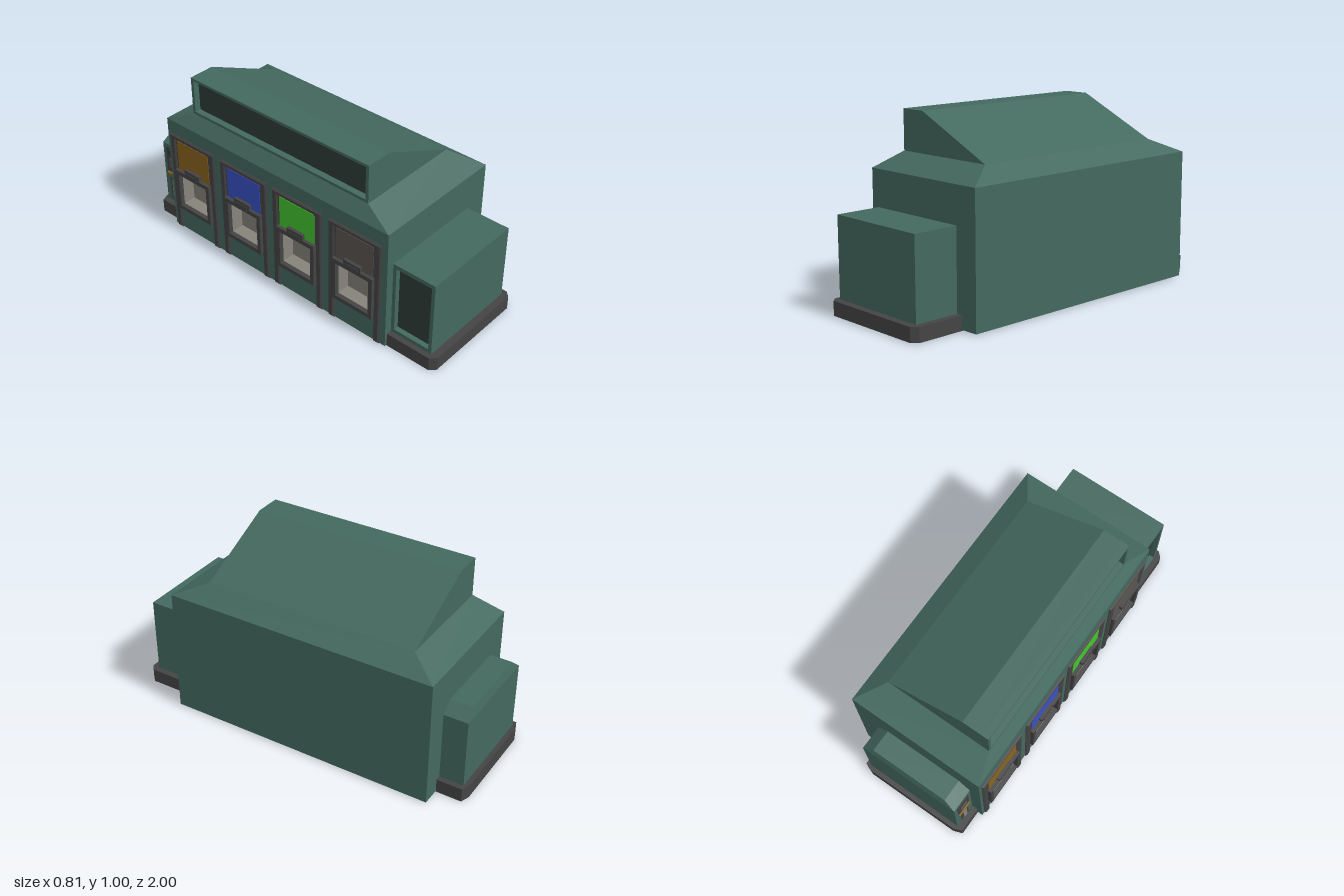
import * as THREE from 'three';

const mat = (name, color) => {
  const m = new THREE.MeshStandardMaterial({ color });
  m.name = name;
  return m;
};

export function createModel() {
  const root = new THREE.Group();
  root.name = 'recyclingStation';
  const green = mat('bodyGreen', 0x44695f);
  const dark = mat('trimDark', 0x444444);
  const glass = mat('windowDark', 0x2e3c38);
  const grey = mat('hopperGrey', 0x86837a);
  const orange = mat('signOrange', 0x8a6420);
  const blue = mat('signBlue', 0x3a50c4);
  const lime = mat('signGreen', 0x44c430);
  const brown = mat('signBrown', 0x5c5550);

  const add = (name, geo, material, parent = root) => {
    const m = new THREE.Mesh(geo, material);
    m.name = name;
    parent.add(m);
    return m;
  };
  // box given by its limits
  const box = (name, x0, x1, y0, y1, z0, z1, material, parent) => {
    const g = new THREE.BoxGeometry(x1 - x0, y1 - y0, z1 - z0);
    g.translate((x0 + x1) / 2, (y0 + y1) / 2, (z0 + z1) / 2);
    return add(name, g, material, parent);
  };
  // box whose top rectangle [x0, x1, z0, z1] differs from the bottom one
  const frustum = (name, y0, y1, a, b, material) => {
    const g = new THREE.BoxGeometry(1, 1, 1);
    const p = g.attributes.position;
    for (let i = 0; i < p.count; i++) {
      const top = p.getY(i) > 0, r = top ? b : a;
      p.setXYZ(i, p.getX(i) < 0 ? r[0] : r[1], top ? y1 : y0, p.getZ(i) < 0 ? r[2] : r[3]);
    }
    g.computeVertexNormals();
    return add(name, g, material);
  };
  const rect = (T, z0, z1, y0, y1) => new T([[z0, y0], [z1, y0], [z1, y1], [z0, y1]].map((q) => new THREE.Vector2(...q)));
  // upright slab in the z-y plane, from xIn outward to -x, with rectangular holes
  const slab = (name, xIn, depth, r, holes, material, parent, bevel = 0) => {
    const s = rect(THREE.Shape, ...r);
    s.holes = holes.map((h) => rect(THREE.Path, ...h));
    const g = new THREE.ExtrudeGeometry(s, {
      depth, bevelEnabled: bevel > 0, bevelSize: bevel, bevelOffset: -bevel, bevelThickness: bevel, bevelSegments: 1,
    });
    g.rotateY(-Math.PI / 2);
    g.translate(xIn, 0, 0);
    return add(name, g, material, parent);
  };
  // flat plinth with cut outer corners, dir is the z direction it points to
  const plinth = (name, x0, x1, zIn, zOut, cx, cz) => {
    const d = Math.sign(zOut);
    const pts = [[x0, zIn], [x0, zOut - d * cz], [x0 + cx, zOut], [x1 - cx, zOut], [x1, zOut - d * cz], [x1, zIn]];
    const s = new THREE.Shape(pts.map(([x, z]) => new THREE.Vector2(x, -z)));
    const g = new THREE.ExtrudeGeometry(s, { depth: 0.078, bevelEnabled: false });
    g.rotateX(-Math.PI / 2);
    add(name, g, dark);
  };

  // main body, with a pierced wall on the service side
  const centres = [-0.65, -0.265, 0.115, 0.5];
  box('body', -0.3, 0.4, 0.005, 0.712, -0.84, 0.705, green);
  slab('serviceWall', -0.3, 0.08, [-0.84, 0.705, 0.005, 0.712],
    centres.map((c) => [c - 0.11, c + 0.11, 0.175, 0.39]), green);

  // hipped roof and raised clerestory
  frustum('roofSlope', 0.712, 0.787, [-0.38, 0.4, -0.84, 0.705], [-0.33, 0.285, -0.678, 0.535], green);
  const prof = new THREE.Shape([[-0.29, 0.787], [0.285, 0.787], [-0.18, 1.005], [-0.29, 1.005]].map((q) => new THREE.Vector2(...q)));
  const upper = new THREE.ExtrudeGeometry(prof, { depth: 1.213, bevelEnabled: false });
  upper.translate(0, 0, -0.678);
  add('clerestory', upper, green);
  slab('clerestoryFrame', -0.29, 0.04, [-0.678, 0.535, 0.787, 1.005], [[-0.66, 0.517, 0.803, 0.99]], green);
  box('clerestoryWindow', -0.295, -0.289, 0.803, 0.99, -0.66, 0.517, glass);

  // front annex with a recessed side window
  box('frontAnnex', -0.3, 0.265, 0.07, 0.513, 0.7, 0.96, green);
  slab('frontAnnexFrame', -0.3, 0.035, [0.7, 0.96, 0.07, 0.513], [[0.725, 0.94, 0.1, 0.49]], green);
  box('frontAnnexWindow', -0.306, -0.299, 0.1, 0.49, 0.725, 0.94, glass);
  plinth('frontPlinth', -0.365, 0.3, 0.7, 1, 0.03, 0.03);

  // rear annex with a bevelled top
  box('rearAnnex', -0.315, 0.265, 0.07, 0.465, -0.975, -0.835, green);
  frustum('rearAnnexTop', 0.465, 0.52, [-0.315, 0.265, -0.975, -0.835], [-0.25, 0.2, -0.962, -0.835], green);
  plinth('rearPlinth', -0.35, 0.295, -0.835, -1, 0.05, 0.018);

  // control panel on the rear annex
  const panel = new THREE.Group();
  panel.name = 'controlPanel';
  root.add(panel);
  box('panelPlate', -0.319, -0.314, 0.29, 0.45, -0.95, -0.86, dark, panel);
  box('display', -0.323, -0.318, 0.405, 0.435, -0.935, -0.875, glass, panel);
  box('keypad', -0.323, -0.318, 0.315, 0.375, -0.93, -0.88, brown, panel);
  box('trayLip', -0.325, -0.314, 0.262, 0.278, -0.95, -0.86, orange, panel);
  box('slotFrame', -0.319, -0.314, 0.1, 0.245, -0.935, -0.875, dark, panel);
  box('slot', -0.323, -0.318, 0.112, 0.233, -0.918, -0.892, grey, panel);

  // four deposit bays: dark surround, coloured sign, framed hopper and handle
  const signs = [orange, blue, lime, brown];
  centres.forEach((c, i) => {
    const bay = new THREE.Group();
    bay.name = 'depositBay' + (i + 1);
    root.add(bay);
    for (const s of [-1, 1]) {
      const a = c + s * 0.13, b = c + s * 0.17;
      slab('surroundPost', -0.375, 0.008, [Math.min(a, b), Math.max(a, b), 0.003, 0.63], [], dark, bay, 0.008);
    }
    slab('surroundTop', -0.375, 0.008, [c - 0.15, c + 0.15, 0.598, 0.63], [], dark, bay, 0.008);
    box('signBacking', -0.383, -0.379, 0.39, 0.605, c - 0.135, c + 0.135, dark, bay);
    box('sign', -0.386, -0.382, 0.4, 0.598, c - 0.12, c + 0.12, signs[i], bay);
    slab('hopperFrame', -0.378, 0.026, [c - 0.13, c + 0.13, 0.155, 0.412], [[c - 0.107, c + 0.107, 0.178, 0.387]], dark, bay);
    box('handle', -0.404, -0.383, 0.412, 0.442, c - 0.055, c + 0.055, dark, bay);
    box('handleGrip', -0.407, -0.403, 0.395, 0.425, c - 0.04, c + 0.04, dark, bay);
    // open-fronted lining that faces inward
    const lining = new THREE.BoxGeometry(0.075, 0.213, 0.218);
    lining.scale(-1, 1, 1);
    lining.setIndex(Array.from(lining.index.array).slice(6));
    lining.clearGroups();
    lining.computeVertexNormals();
    lining.translate(-0.3405, 0.2825, c);
    add('hopperLining', lining, grey, bay);
  });

  return root;
}
